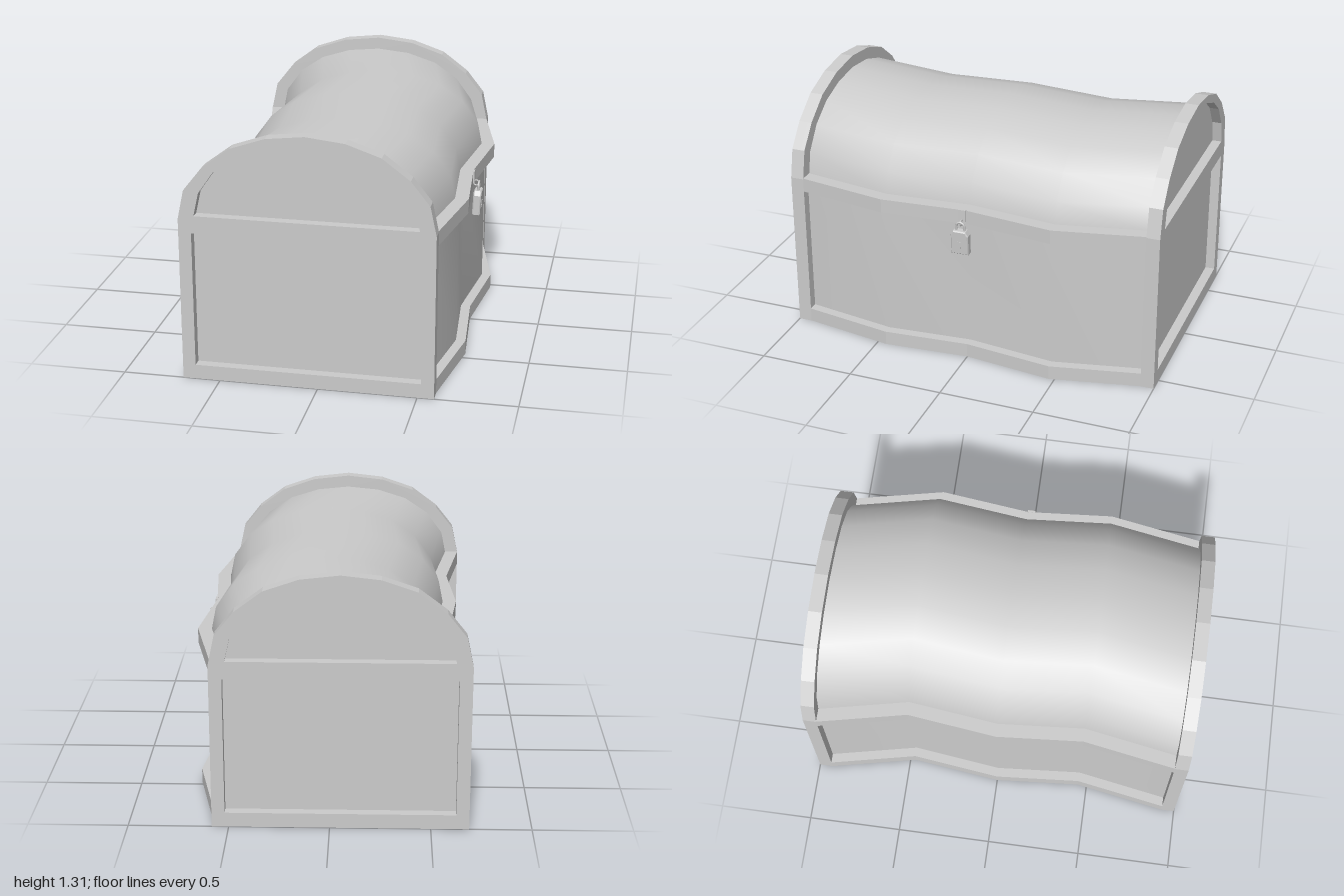
import * as THREE from 'three';

const material = new THREE.MeshStandardMaterial({ color: 0xcccccc });

// Sideways bend of the body along its length: [z, x shift]
const WAVE = [[-0.93, 0], [-0.47, 0.1], [0, 0.045], [0.45, 0.08], [0.93, 0]];
const HALF = 0.637;       // half width
const RIM = 0.07;         // width of the rails
const INSET = 0.05;       // depth of the sunken panels
const END = 0.07;         // thickness of the end walls

// Right halves of the arches, from the spring line to the crown
const OUTER_ARCH = [[0.637, 0.85], [0.605, 1.0], [0.51, 1.12], [0.37, 1.225], [0.195, 1.285], [0, 1.307]];
const INNER_ARCH = [[0.557, 0.87], [0.53, 0.99], [0.45, 1.105], [0.33, 1.19], [0.17, 1.25], [0, 1.268]];
const LID_ARCH = [[0.567, 0.85], [0.543, 0.97], [0.455, 1.09], [0.33, 1.175], [0.172, 1.225], [0, 1.242]];

const mirrored = (half) => [...half, ...half.slice(0, -1).reverse().map(([x, y]) => [-x, y])];
const rect = (x0, y0, x1, y1) => [[x0, y0], [x1, y0], [x1, y1], [x0, y1]];
const toPoints = (list) => list.map(([x, y]) => new THREE.Vector2(x, y));

function addMesh(parent, name, geometry) {
  const mesh = new THREE.Mesh(geometry, material);
  mesh.name = name;
  parent.add(mesh);
  return mesh;
}

// Sweeps a counter-clockwise section along the wavy length
function sweep(section, smooth) {
  const n = section.length;
  const positions = [];
  const indices = [];
  WAVE.forEach(([z, shift], row) => {
    section.forEach(([x, y], i) => {
      positions.push(x + shift, y, z);
      if (row === 0 || i === n - 1) return;
      const a = (row - 1) * n + i;
      const d = row * n + i;
      indices.push(a, a + 1, d + 1, a, d + 1, d);
    });
  });
  let geometry = new THREE.BufferGeometry();
  geometry.setAttribute('position', new THREE.Float32BufferAttribute(positions, 3));
  geometry.setIndex(indices);
  if (!smooth) geometry = geometry.toNonIndexed();
  geometry.computeVertexNormals();
  return geometry;
}

function extrude(shape, depth, options = {}) {
  return new THREE.ExtrudeGeometry(shape, { depth, bevelEnabled: false, ...options });
}

// End wall: arched frame with two openings in front of a backing panel
function createEnd(name) {
  const end = new THREE.Group();
  end.name = name;
  const outline = toPoints([[-HALF, 0], [HALF, 0], ...mirrored(OUTER_ARCH)]);
  const frame = new THREE.Shape(outline);
  frame.holes.push(new THREE.Path(toPoints(rect(-0.572, 0.075, 0.572, 0.78))));
  frame.holes.push(new THREE.Path(toPoints(mirrored(INNER_ARCH))));
  addMesh(end, 'endFrame', extrude(frame, INSET)).position.z = 1 - INSET;
  addMesh(end, 'endPanel', extrude(new THREE.Shape(outline), END - INSET)).position.z = 1 - END;
  return end;
}

// Padlock facing +z, hanging from its shackle
function createPadlock() {
  const lock = new THREE.Group();
  lock.name = 'padlock';
  const w = 0.042;
  const body = new THREE.Shape(toPoints([
    [-w, -0.06], [w, -0.06], [w, 0.04], [w - 0.012, 0.06], [-w + 0.012, 0.06], [-w, 0.04],
  ]));
  addMesh(lock, 'lockBody', extrude(body, 0.03, {
    bevelEnabled: true, bevelSize: 0.005, bevelThickness: 0.006, bevelSegments: 1,
  })).position.z = -0.015;

  // Raised keyhole plate with a dark slot
  addMesh(lock, 'keyPlate', new THREE.BoxGeometry(0.016, 0.04, 0.004)).position.set(0, -0.012, 0.022);

  const r = 0.022;
  const path = new THREE.CurvePath();
  const v = (x, y) => new THREE.Vector3(x, y, 0);
  path.add(new THREE.LineCurve3(v(-r, 0.05), v(-r, 0.085)));
  path.add(new THREE.CubicBezierCurve3(v(-r, 0.085), v(-r, 0.115), v(r, 0.115), v(r, 0.085)));
  path.add(new THREE.LineCurve3(v(r, 0.085), v(r, 0.05)));
  addMesh(lock, 'shackle', new THREE.TubeGeometry(path, 24, 0.006, 8));
  return lock;
}

export function createModel() {
  const chest = new THREE.Group();
  chest.name = 'chest';
  const body = new THREE.Group();
  body.name = 'body';
  body.position.x = -0.053;
  chest.add(body);

  // Curved lid between the end walls
  addMesh(body, 'lid', sweep(mirrored(LID_ARCH), true));

  // Floor, with rails and a sunken panel on each long side
  addMesh(body, 'floor', sweep([[-HALF + RIM, 0], [HALF - RIM, 0]], false));
  for (const side of [1, -1]) {
    const label = side > 0 ? 'left' : 'right';
    const x0 = side > 0 ? HALF - RIM : -HALF;
    for (const [name, y0, y1] of [['BottomRail', 0, 0.075], ['TopRail', 0.78, 0.855]]) {
      const loop = rect(x0, y0, x0 + RIM, y1);
      addMesh(body, label + name, sweep([...loop, loop[0]], false));
    }
    const x = side * (HALF - INSET);
    const panel = [[x, 0.07], [x, 0.79]];
    addMesh(body, label + 'Panel', sweep(side > 0 ? panel : panel.reverse(), true));
  }

  // End walls
  body.add(createEnd('frontEnd'));
  const back = createEnd('backEnd');
  back.rotation.y = Math.PI;
  body.add(back);

  // Hasp and padlock on the left side
  const hasp = new THREE.Group();
  hasp.name = 'hasp';
  hasp.position.set(0.633, 0, 0.016);
  addMesh(hasp, 'haspStrap', new THREE.BoxGeometry(0.012, 0.062, 0.04)).position.y = 0.827;
  const staple = addMesh(hasp, 'staple', new THREE.TorusGeometry(0.014, 0.004, 8, 16));
  staple.position.set(0.014, 0.792, 0);
  chest.add(hasp);

  const lock = createPadlock();
  lock.position.set(0.657, 0.692, 0.016);
  lock.rotation.set(0, Math.PI / 2, 0);
  lock.rotateX(0.05);
  chest.add(lock);

  return chest;
}
